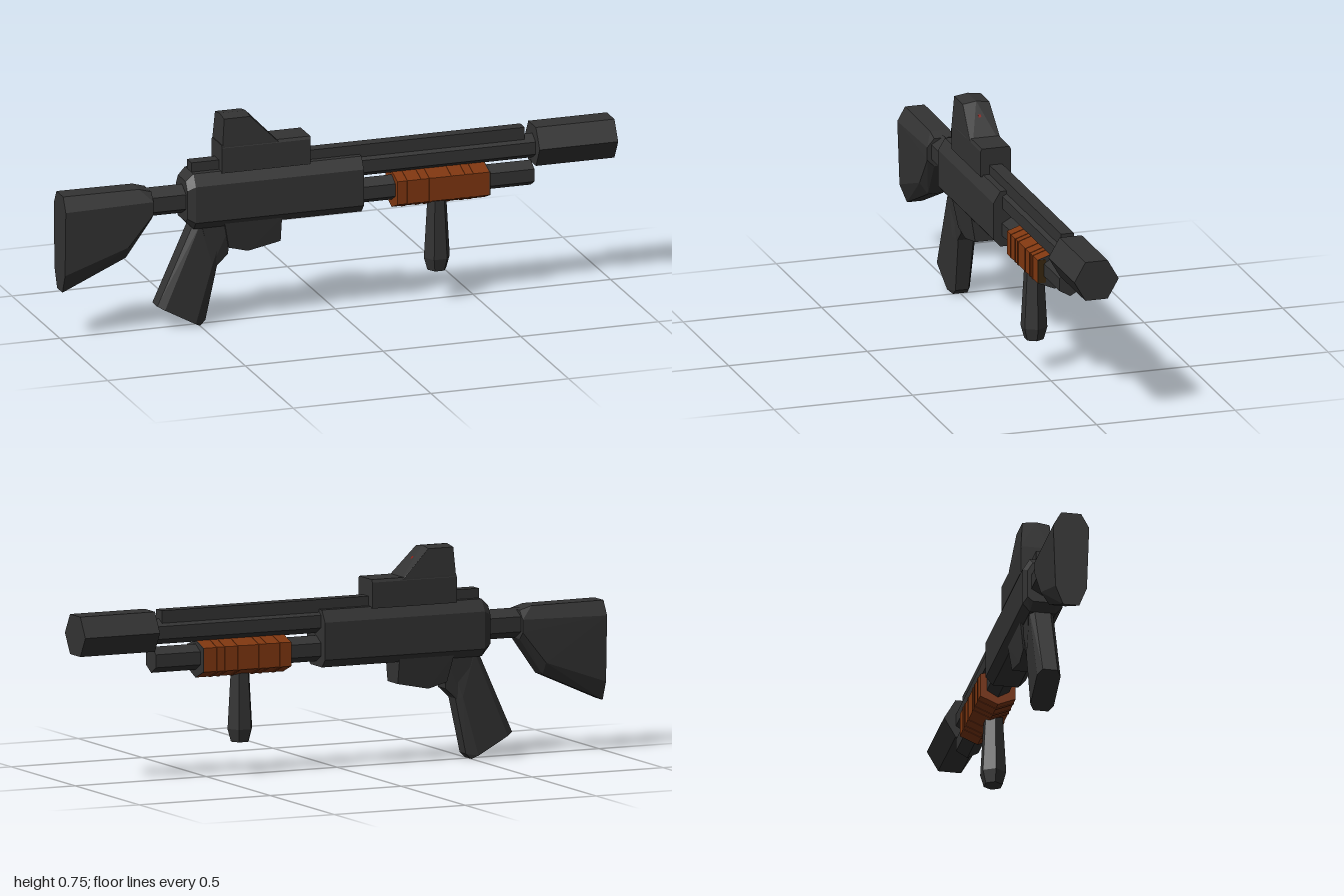
import * as THREE from 'three';
import { ConvexGeometry } from 'three/addons/geometries/ConvexGeometry.js';

const paint = (name, color) => {
  const m = new THREE.MeshStandardMaterial({ color });
  m.name = name;
  m.flatShading = true;
  return m;
};

export function createModel() {
  const group = new THREE.Group();
  const body = paint('charcoal', 0x333333);
  const orange = paint('burnt orange', 0x803710);
  const brown = paint('dark brown', 0x3a2810);
  const red = paint('sight red', 0x8a1c14);

  const add = (name, geometry, material = body) => {
    const mesh = new THREE.Mesh(geometry, material);
    mesh.name = name;
    group.add(mesh);
    return mesh;
  };
  // Convex solid from [x, y, halfWidth] points, mirrored across z
  const hull = (name, points, material) => add(name, new ConvexGeometry(
    points.flatMap(([x, y, z]) => z === 0
      ? [new THREE.Vector3(x, y, 0)]
      : [new THREE.Vector3(x, y, z), new THREE.Vector3(x, y, -z)])), material);
  // Prism along x from one [y, halfWidth] section
  const prism = (name, x0, x1, section, material) =>
    hull(name, [x0, x1].flatMap(x => section.map(([y, z]) => [x, y, z])), material);
  // Hexagonal bar along x, corners at the sides or at top and bottom
  const hexBar = (name, x0, x1, y, r, upright) => {
    const g = new THREE.CylinderGeometry(r, r, x1 - x0, 6);
    g.rotateZ(Math.PI / 2);
    if (upright) g.rotateX(Math.PI / 2);
    g.translate((x0 + x1) / 2, y, 0);
    add(name, g);
  };

  // Barrel group
  hexBar('suppressor', 0.715, 1, 0.521, 0.08, false);
  hexBar('barrel', 0.05, 0.72, 0.515, 0.044, true);
  hexBar('magazineTube', 0.05, 0.71, 0.418, 0.045, true);
  const rib = new THREE.BoxGeometry(1.21, 0.045, 0.046);
  rib.translate(0.075, 0.567, 0);
  add('topRib', rib);

  // Receiver with tapered rear
  hull('receiver', [
    ...[-0.53, 0.08].flatMap(x => [
      [x, 0.357, 0.045], [x, 0.385, 0.07], [x, 0.515, 0.07], [x, 0.556, 0.045]]),
    [-0.557, 0.385, 0.04], [-0.557, 0.40, 0.058],
    [-0.557, 0.50, 0.058], [-0.557, 0.53, 0.04]]);

  // Pump handle with shallow ribs and end plates
  const pump = [[0.346, 0], [0.372, 0.062], [0.455, 0.062], [0.476, 0]];
  prism('pump', 0.205, 0.538, pump, orange);
  for (const x of [0.24, 0.29, 0.32, 0.4, 0.45, 0.48]) {
    prism('pumpRib', x, x + 0.01,
      pump.map(([y, z]) => [0.411 + (y - 0.411) * 1.03, z * 1.03]), orange);
  }
  prism('pumpFrontPlate', 0.538, 0.541, pump);
  const edge = new THREE.BoxGeometry(0.002, 0.083, 0.03);
  edge.translate(0.5415, 0.4135, 0.047);
  add('pumpFrontEdge', edge, brown);

  // Vertical foregrip
  const profile = [[0, 0.112], [0.034, 0.112], [0.047, 0.157], [0.034, 0.375], [0, 0.375]];
  const foregrip = new THREE.LatheGeometry(profile.map(p => new THREE.Vector2(...p)), 6);
  foregrip.rotateY(Math.PI / 2);
  foregrip.translate(0.363, 0, 0.017);
  add('foregrip', foregrip);

  // Sight: low base, tall hood with sloping front, small red mark
  hull('sightBase', [-0.43, -0.108].flatMap(x => [
    [x, 0.55, 0.055], [x, 0.64, 0.055], [x, 0.65, 0.05]]));
  hull('sightHood', [
    [-0.43, 0.6, 0.055], [-0.427, 0.65, 0.054], [-0.42, 0.743, 0.048], [-0.42, 0.75, 0],
    [-0.325, 0.743, 0.048], [-0.325, 0.75, 0],
    [-0.23, 0.648, 0.054], [-0.20, 0.62, 0.054], [-0.23, 0.6, 0.055]]);
  const mark = new THREE.BoxGeometry(0.02, 0.004, 0.01);
  mark.rotateZ(-0.82);
  mark.translate(-0.284, 0.7045, 0);
  add('sightMark', mark, red);

  // Trigger guard block
  hull('triggerGuard', [
    [-0.42, 0.37, 0.055], [-0.40, 0.275, 0.04], [-0.33, 0.256, 0.038],
    [-0.212, 0.28, 0.04], [-0.212, 0.37, 0.055]]);

  // Pistol grip: slanted handle and its upper web
  hull('pistolGrip', [
    [-0.525, 0.37, 0.028], [-0.505, 0.37, 0.042],
    [-0.655, 0.085, 0.026], [-0.632, 0.073, 0.041],
    [-0.50, 0.0, 0.026], [-0.52, 0.012, 0.041],
    [-0.48, 0.018, 0.024], [-0.44, 0.215, 0.03], [-0.46, 0.22, 0.042],
    [-0.405, 0.37, 0.03]]);
  hull('gripWeb', [
    [-0.50, 0.37, 0.045], [-0.46, 0.21, 0.034], [-0.44, 0.212, 0.03],
    [-0.40, 0.25, 0.03], [-0.39, 0.37, 0.045]]);

  // Shoulder stock and its connecting tube
  hexBar('stockTube', -0.70, -0.54, 0.458, 0.052, true);
  hull('stock', [
    [-1, 0.52, 0.035], [-1, 0.47, 0.063], [-1, 0.24, 0.055], [-1, 0.173, 0.028],
    [-0.725, 0.518, 0.035], [-0.68, 0.505, 0.035], [-0.68, 0.475, 0.06],
    [-0.68, 0.43, 0.06], [-0.68, 0.405, 0.035],
    [-0.77, 0.32, 0.058], [-0.77, 0.275, 0.028]]);

  return group;
}
